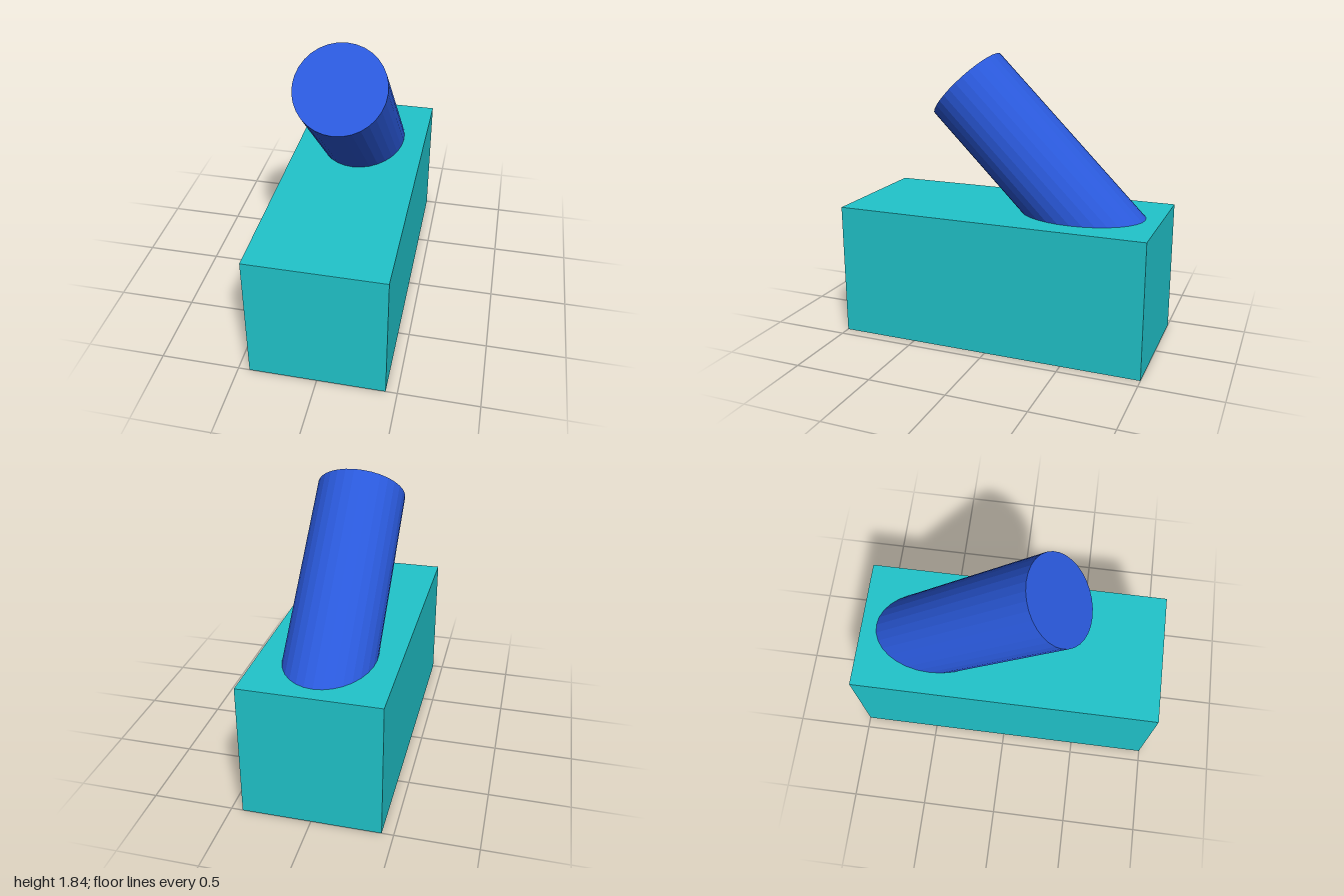
import * as THREE from 'three';

export function createModel() {
  const model = new THREE.Group();
  model.name = 'tiltedCylinderOnBlock';

  const addPart = (name, geometry, color) => {
    const material = new THREE.MeshStandardMaterial({ color, flatShading: true });
    const mesh = new THREE.Mesh(geometry, material);
    mesh.name = name;
    model.add(mesh);
    return mesh;
  };

  // Long rectangular base standing on the ground
  const baseHeight = 0.857;
  addPart('baseBlock', new THREE.BoxGeometry(0.857, baseHeight, 2), 0x20c4cb)
    .position.y = baseHeight / 2;

  // Cylinder leaning forward at 45 degrees, its lower end sunk into the base
  const tilt = Math.PI / 4;
  const length = 1.43;
  const cylinder = addPart('tiltedCylinder', new THREE.CylinderGeometry(0.283, 0.283, length, 32), 0x2a59db);
  cylinder.rotation.x = tilt;
  const topCentre = new THREE.Vector3(0, 1.64, 0.283);
  const axis = new THREE.Vector3(0, Math.cos(tilt), Math.sin(tilt));
  cylinder.position.copy(topCentre).addScaledVector(axis, -length / 2);

  return model;
}
